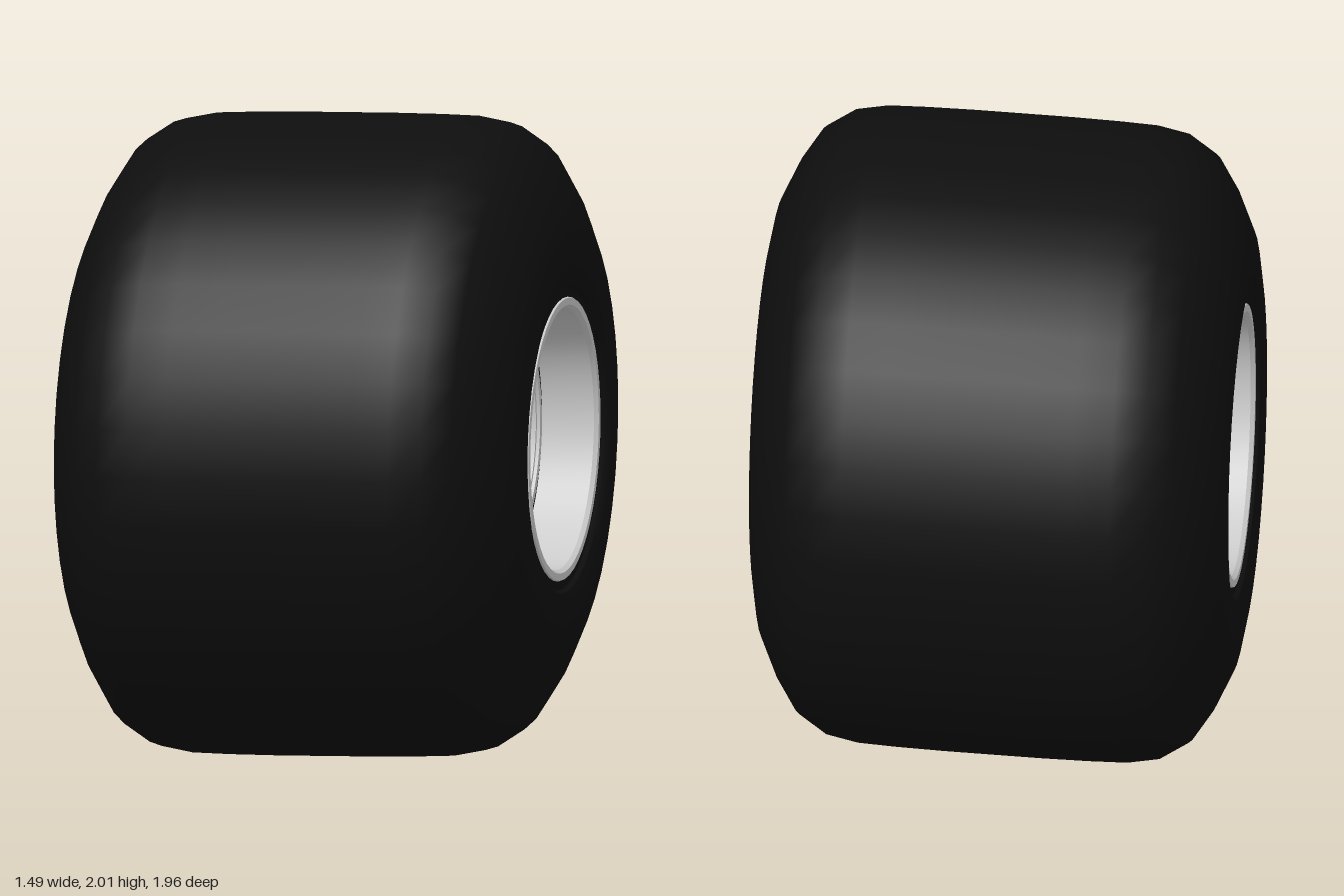
import * as THREE from 'three';
import { toCreasedNormals } from 'three/addons/utils/BufferGeometryUtils.js';

const grey = new THREE.MeshStandardMaterial({ color: 0xcccccc });
const rubber = new THREE.MeshStandardMaterial({ color: 0x0e0e0e });

// Revolve [x, radius] points around the x axis
function revolve(points, segments) {
  const geometry = new THREE.LatheGeometry(points.map(([x, r]) => new THREE.Vector2(r, x)), segments);
  geometry.rotateZ(-Math.PI / 2);
  return geometry;
}

// Complete a half profile (+x side, from outside to bore) with its mirror image and close it
function symmetric(half) {
  const mirrored = half.map(([x, r]) => [-x, r]).reverse();
  return [...half, ...mirrored, half[0]];
}

function addPart(parent, name, geometry, material) {
  const mesh = new THREE.Mesh(toCreasedNormals(geometry, 0.62), material);
  mesh.name = name;
  parent.add(mesh);
  return mesh;
}

export function createModel() {
  const model = new THREE.Group();
  model.name = 'wheel';

  // Wide rubber tyre with rounded shoulders, recessed bead and floor
  const tyre = revolve(symmetric([
    [0.15, 1], [0.3, 0.998], [0.42, 0.994], [0.52, 0.975], [0.605, 0.92], [0.67, 0.82],
    [0.725, 0.7], [0.745, 0.595], [0.745, 0.54], [0.735, 0.48], [0.722, 0.47], [0.722, 0.44],
    [0.55, 0.44], [0.55, 0.34],
  ]), 40);
  // Slight lean and squash of the tyre
  const p = tyre.attributes.position;
  for (let i = 0; i < p.count; i++) {
    const r = Math.hypot(p.getY(i), p.getZ(i));
    const onRim = r < 0.5;
    p.setY(i, p.getY(i) + 1 + (onRim ? 0.01 : 0.028 * p.getX(i)));
    p.setZ(i, onRim ? p.getZ(i) - 0.02 : p.getZ(i) * 0.98);
  }
  addPart(model, 'tyre', tyre, rubber);

  // Rim assembly
  const rim = new THREE.Group();
  rim.name = 'rim';
  rim.position.set(0, 1.01, -0.02);
  model.add(rim);

  // Dished hub with a flat ring, a bowl, a centre disc, a collar and a bore
  addPart(rim, 'hub', revolve(symmetric([
    [0.555, 0.352], [0.565, 0.345], [0.565, 0.322], [0.555, 0.32], [0.555, 0.308],
    [0.42, 0.285], [0.28, 0.238], [0.2, 0.2], [0.2, 0.137], [0.215, 0.133], [0.215, 0.106],
  ]), 48), grey);

  for (const side of [1, -1]) {
    const half = new THREE.Group();
    half.name = side > 0 ? 'leftRimSide' : 'rightRimSide';
    half.rotation.y = side > 0 ? 0 : Math.PI;
    rim.add(half);

    // Outer lip sleeve
    addPart(half, 'rimLip', revolve([
      [0.545, 0.442], [0.715, 0.446], [0.728, 0.44], [0.728, 0.418], [0.715, 0.408],
      [0.56, 0.403], [0.545, 0.403], [0.545, 0.442],
    ], 48), grey);

    // Three bolts around the centre disc
    for (let i = 0; i < 3; i++) {
      const angle = Math.PI / 6 + i * Math.PI * 2 / 3;
      const bolt = new THREE.CylinderGeometry(0.026, 0.026, 0.04, 16);
      bolt.rotateZ(-Math.PI / 2);
      bolt.translate(0.2, Math.sin(angle) * 0.185, Math.cos(angle) * 0.185);
      addPart(half, 'bolt', bolt, grey);
    }
  }
  return model;
}
